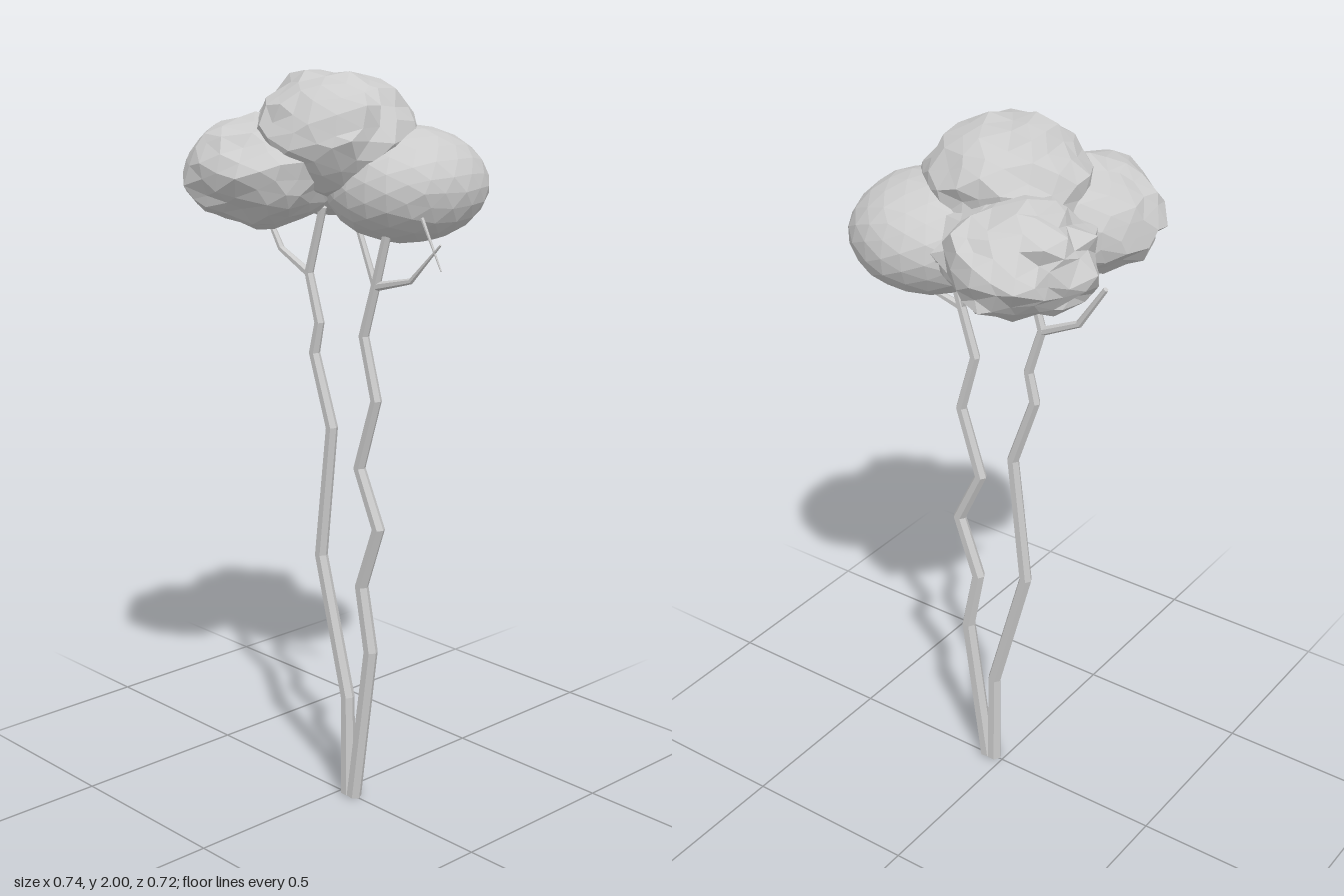
import * as THREE from 'three';

const bark = new THREE.MeshStandardMaterial({ color: 0xcccccc, flatShading: true });
const leaf = new THREE.MeshStandardMaterial({ color: 0xcccccc, flatShading: true });
const SIDES = 6;

// Tapered, mitred limb along a crooked path of [x, y] points in the z = 0 plane
function limb(name, path, r0, r1) {
  const pts = path.map(([x, y]) => new THREE.Vector2(x, y));
  const last = pts.length - 1;
  const pos = [], idx = [];
  pts.forEach((p, i) => {
    const into = pts[Math.max(i, 1)].clone().sub(pts[Math.max(i, 1) - 1]).normalize();
    const out = pts[Math.min(i + 1, last)].clone().sub(pts[Math.min(i, last - 1)]).normalize();
    const t = into.clone().add(out).normalize();
    const r = r0 + (r1 - r0) * i / last;
    const mitre = r / Math.max(0.6, t.dot(into));
    for (let j = 0; j < SIDES; j++) {
      const a = j / SIDES * Math.PI * 2;
      const c = Math.cos(a) * mitre;
      pos.push(p.x + t.y * c, p.y - t.x * c, Math.sin(a) * r);
    }
  });
  for (let i = 0; i < last; i++) {
    for (let j = 0; j < SIDES; j++) {
      const k = (j + 1) % SIDES;
      const a = i * SIDES + j, b = a + SIDES, c = i * SIDES + k, d = c + SIDES;
      idx.push(a, b, c, c, b, d);
    }
  }
  // End caps
  const top = last * SIDES;
  for (let j = 1; j < SIDES - 1; j++) idx.push(0, j, j + 1, top, top + j + 1, top + j);
  const g = new THREE.BufferGeometry();
  g.setAttribute('position', new THREE.Float32BufferAttribute(pos, 3));
  g.setIndex(idx);
  g.computeVertexNormals();
  const mesh = new THREE.Mesh(g, bark);
  mesh.name = name;
  return mesh;
}

// Repeatable value in -1..1 from a direction, so shared corners move together
function hash(v, seed) {
  const q = (n) => Math.round(n * 1000) / 1000;
  const s = Math.sin(q(v.x) * 127.1 + q(v.y) * 311.7 + q(v.z) * 74.7 + seed * 19.19) * 43758.5453;
  return (s - Math.floor(s)) * 2 - 1;
}

// Faceted leaf clump: a squashed icosphere with roughened corners
function clump(name, center, radii, rough, seed) {
  const g = new THREE.IcosahedronGeometry(1, 3);
  const p = g.attributes.position;
  const v = new THREE.Vector3(), d = new THREE.Vector3();
  for (let i = 0; i < p.count; i++) {
    v.fromBufferAttribute(p, i);
    d.set(hash(v, seed), hash(v, seed + 1), hash(v, seed + 2)).multiplyScalar(rough);
    const swell = 1 + rough * 0.5 * Math.sin(v.x * 5 + seed) * Math.sin(v.y * 6 + v.z * 4 + seed);
    v.multiplyScalar(swell).add(d);
    p.setXYZ(i, v.x * radii[0], v.y * radii[1], v.z * radii[2]);
  }
  g.computeVertexNormals();
  const mesh = new THREE.Mesh(g, leaf);
  mesh.position.set(...center);
  mesh.name = name;
  return mesh;
}

export function createModel() {
  const tree = new THREE.Group();
  tree.name = 'tree';

  // Two crooked trunks from a shared foot
  tree.add(limb('rightTrunk', [[0.028, 0], [0.026, 0.29], [-0.08, 0.68], [-0.037, 1.05],
    [-0.105, 1.245], [-0.085, 1.33], [-0.125, 1.46], [-0.07, 1.64]], 0.021, 0.011));
  tree.add(limb('leftTrunk', [[0.052, 0], [0.116, 0.45], [0.08, 0.63], [0.143, 0.805],
    [0.07, 0.96], [0.132, 1.155], [0.085, 1.32], [0.127, 1.455], [0.175, 1.62]], 0.021, 0.012));

  // Branches and twig
  tree.add(limb('rightBranch', [[-0.12, 1.455], [-0.235, 1.51], [-0.31, 1.625]], 0.012, 0.007));
  tree.add(limb('leftBranch', [[0.125, 1.455], [0.254, 1.487], [0.355, 1.59]], 0.012, 0.003));
  tree.add(limb('innerBranch', [[0.127, 1.455], [0.055, 1.62]], 0.01, 0.008));
  tree.add(limb('twig', [[0.29, 1.65], [0.358, 1.525]], 0.005, 0.002));

  // Leaf clumps
  tree.add(clump('topLeaves', [-0.01, 1.835, 0.015], [0.215, 0.16, 0.21], 0.06, 3));
  tree.add(clump('leftLeaves', [0.13, 1.71, -0.105], [0.21, 0.15, 0.215], 0.012, 7));
  tree.add(clump('frontLeaves', [-0.145, 1.74, 0.145], [0.21, 0.14, 0.205], 0.07, 11));
  tree.add(clump('backLeaves', [-0.16, 1.73, -0.15], [0.195, 0.135, 0.2], 0.11, 17));
  return tree;
}
